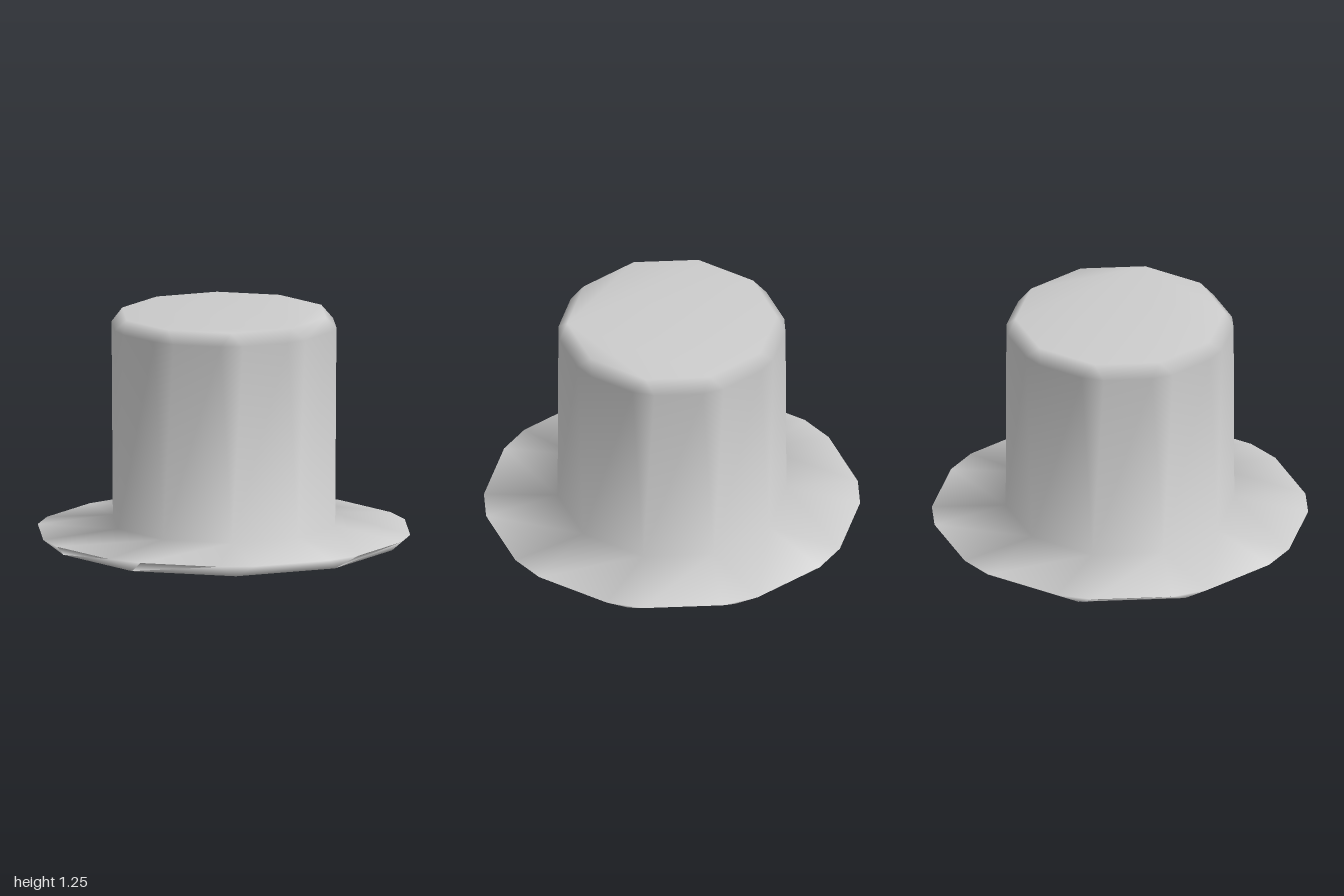
import * as THREE from 'three';

const SIDES = 10;
const STEP = (Math.PI * 2) / SIDES;
const CHAMFER = 0.0995; // half-angle of each cut corner

// Rings from bottom to top; cut rings have every corner chamfered into two points
const RINGS = [
  { r: 0.925, y: 0, cut: false },     // underside
  { r: 1.005, y: 0.068, cut: true },  // brim edge
  { r: 0.612, y: 0.118, cut: false }, // foot of the crown
  { r: 0.607, y: 1.185, cut: true },  // crown shoulder
  { r: 0.56, y: 1.25, cut: false },   // crown top
];

function buildHat() {
  const pos = [];
  const index = [];
  const add = (a, r, y) => pos.push(r * Math.sin(a), y, r * Math.cos(a)) / 3 - 1;

  // Each corner stores its first and last point (the same point when uncut)
  const rings = RINGS.map(({ r, y, cut }) =>
    Array.from({ length: SIDES }, (_, i) => {
      const a = i * STEP;
      if (!cut) {
        const p = add(a, r, y);
        return [p, p];
      }
      return [add(a - CHAMFER, r, y), add(a + CHAMFER, r, y)];
    })
  );

  // Walls: a broad quad per side and a narrow triangle per cut corner
  for (let k = 0; k < rings.length - 1; k++) {
    const lo = rings[k];
    const hi = rings[k + 1];
    for (let i = 0; i < SIDES; i++) {
      const j = (i + 1) % SIDES;
      index.push(lo[i][1], lo[j][0], hi[j][0], lo[i][1], hi[j][0], hi[i][1]);
      if (RINGS[k].cut) index.push(lo[i][0], lo[i][1], hi[i][0]);
      else index.push(lo[i][0], hi[i][1], hi[i][0]);
    }
  }

  // Flat caps below and above
  const bottom = rings[0];
  const top = rings[rings.length - 1];
  for (let i = 1; i < SIDES - 1; i++) {
    index.push(bottom[0][0], bottom[i + 1][0], bottom[i][0]);
    index.push(top[0][0], top[i][0], top[i + 1][0]);
  }

  const geo = new THREE.BufferGeometry();
  geo.setAttribute('position', new THREE.Float32BufferAttribute(pos, 3));
  geo.setIndex(index);
  geo.computeVertexNormals(); // soft shading across the bevels
  return geo;
}

export function createModel() {
  const group = new THREE.Group();
  group.name = 'topHat';
  const hat = new THREE.Mesh(buildHat(), new THREE.MeshStandardMaterial({ color: 0xcccccc }));
  hat.name = 'crownAndBrim';
  group.add(hat);
  return group;
}
